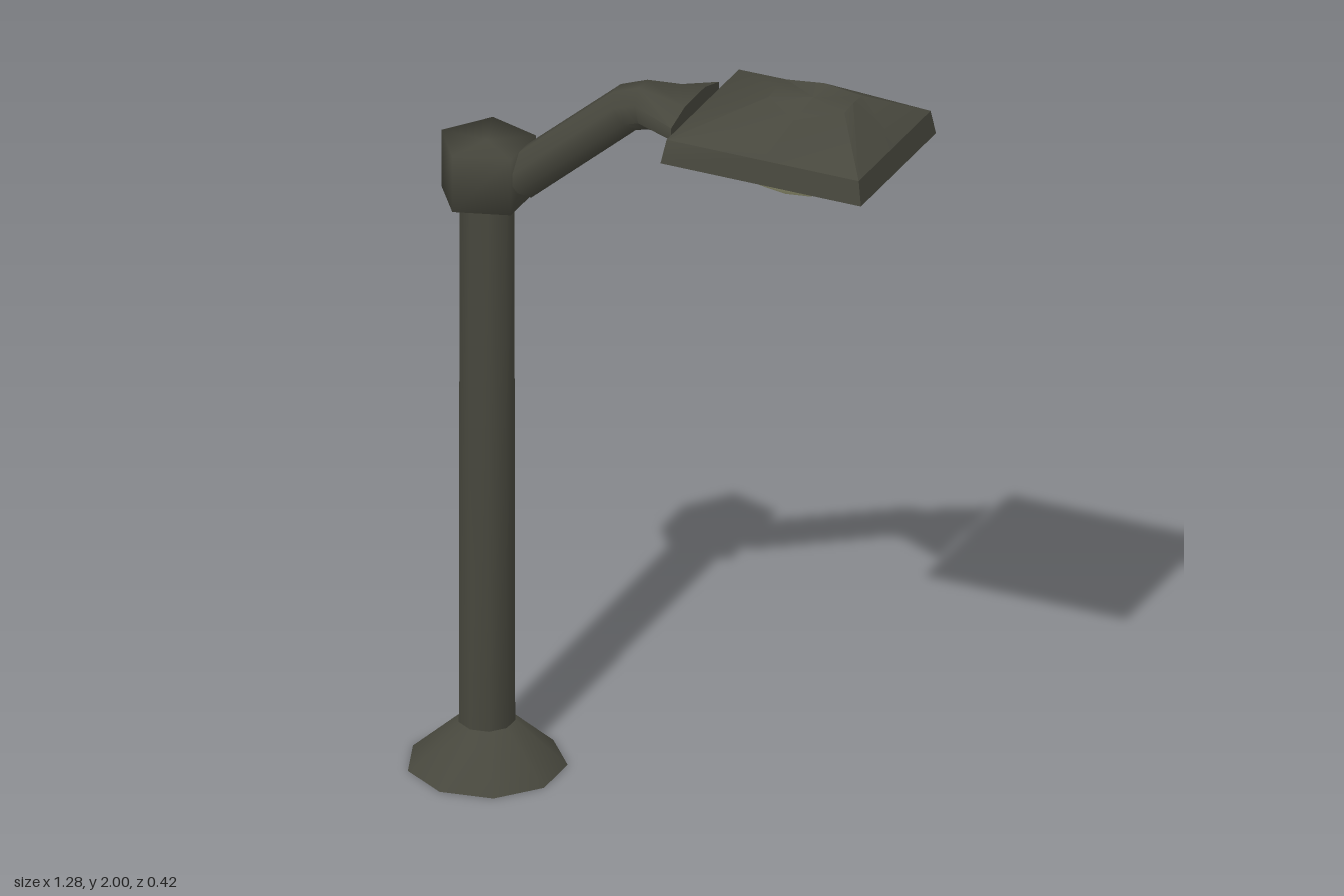
import * as THREE from 'three';
import { toCreasedNormals } from 'three/addons/utils/BufferGeometryUtils.js';

const V = (x, y, z) => new THREE.Vector3(x, y, z);

// Closed skin over rings of equal point count, each running counter-clockwise about the path
function loft(rings, crease) {
  const n = rings[0].length, pts = rings.flat(), index = [];
  for (let r = 0; r < rings.length - 1; r++) {
    for (let i = 0; i < n; i++) {
      const a = r * n + i, b = r * n + (i + 1) % n;
      index.push(a, b, b + n, a, b + n, a + n);
    }
  }
  // end caps fan out from their centres
  [rings[0], rings[rings.length - 1]].forEach((ring, k) => {
    const c = pts.length, base = k * (rings.length - 1) * n;
    pts.push(ring.reduce((s, p) => s.add(p), V(0, 0, 0)).divideScalar(n));
    for (let i = 0; i < n; i++) {
      const a = base + i, b = base + (i + 1) % n;
      index.push(c, ...(k ? [a, b] : [b, a]));
    }
  });
  const g = new THREE.BufferGeometry().setFromPoints(pts);
  g.setIndex(index);
  g.computeVertexNormals();
  return crease ? toCreasedNormals(g, crease) : g;
}

// Horizontal ring round the post axis
const POST_X = -0.45;
const disc = (r, y, sides, turn = 0) => Array.from({ length: sides }, (_, i) => {
  const a = turn + i / sides * Math.PI * 2;
  return V(POST_X + r * Math.cos(a), y, -r * Math.sin(a));
});

// Elliptical ring across the arm; tilt is the path angle, h and w are half sizes
const armRing = (x, y, tilt, h, w) => Array.from({ length: 8 }, (_, i) => {
  const a = (i + 0.5) / 8 * Math.PI * 2, k = h * Math.cos(a) / 0.924;
  return V(x - Math.sin(tilt) * k, y + Math.cos(tilt) * k, w * Math.sin(a) / 0.924);
});

// Rectangle with midpoints, counter-clockwise from above
const rect = (x0, x1, d, y) => {
  const m = (x0 + x1) / 2;
  return [V(x1, y, 0), V(x1, y, -d), V(m, y, -d), V(x0, y, -d),
    V(x0, y, 0), V(x0, y, d), V(m, y, d), V(x1, y, d)];
};

export function createModel() {
  const group = new THREE.Group();
  const metal = new THREE.MeshStandardMaterial({ color: 0x47473d });
  metal.name = 'darkMetal';
  const glass = new THREE.MeshStandardMaterial({ color: 0xb4b48c });
  glass.name = 'paleGlass';
  const add = (name, geometry, material) => {
    const mesh = new THREE.Mesh(geometry, material);
    mesh.name = name;
    group.add(mesh);
    return mesh;
  };

  // Flared foot and straight post
  add('foot', loft([disc(0.195, 0.005, 9, Math.PI), disc(0.07, 0.12, 9, Math.PI)], 1.2), metal);
  add('post', loft([disc(0.069, 0.1, 9, Math.PI), disc(0.067, 1.55, 9, Math.PI)], 1), metal);

  // Five-sided collar
  add('collar', loft([disc(0.12, 1.53, 5, Math.PI), disc(0.12, 1.68, 5, Math.PI)]), metal);

  // Bent arm, widening towards the lamp
  add('arm', loft([
    armRing(-0.355, 1.605, 0.7, 0.054, 0.06),
    armRing(-0.075, 1.85, 0.6, 0.054, 0.057),
    armRing(-0.025, 1.868, 0.2, 0.054, 0.06),
    armRing(0.102, 1.878, 0, 0.039, 0.135),
  ], 0.9), metal);

  // Lamp hood with a dent in its front slope
  const crown = rect(0.32, 0.52, 0.05, 1.988);
  crown[2].y = 2;
  crown[0].y = crown[4].y = 1.992;
  crown[6].set(0.39, 1.945, 0.06);
  add('hood', loft([rect(0.11, 0.64, 0.212, 1.838), rect(0.122, 0.63, 0.203, 1.9), crown], 0.7), metal);

  // Shallow glass bowl under the hood
  const bowl = add('lampGlass',
    new THREE.SphereGeometry(1, 12, 5, 0, Math.PI * 2, Math.PI / 2, Math.PI / 2), glass);
  bowl.scale.set(0.2, 0.1, 0.148);
  bowl.position.set(0.38, 1.838, 0);

  return group;
}
